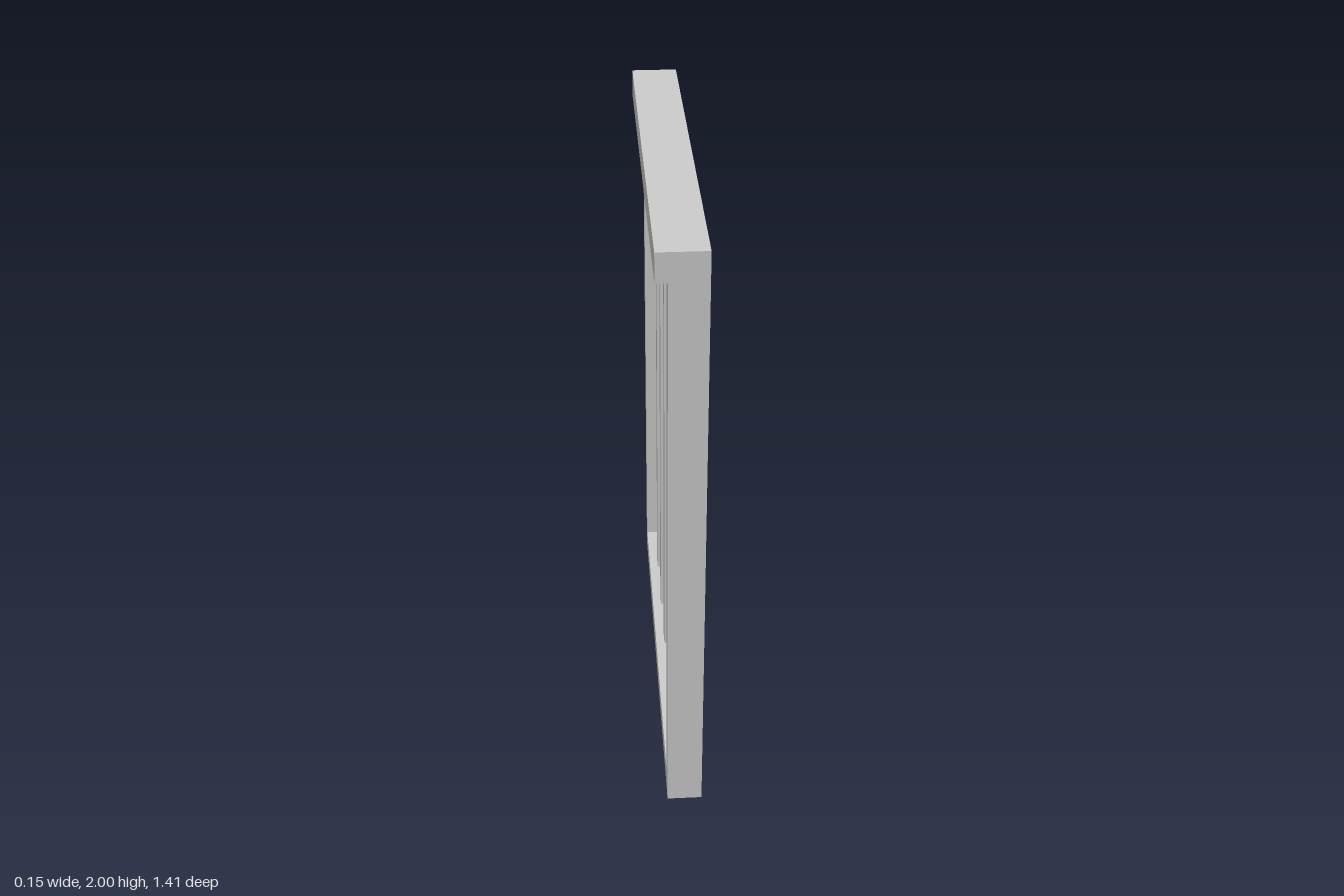
import * as THREE from 'three';

const FRONT = 0.073;   // flush face on the +x side
const HALF = 0.707;    // half the panel's width along z
const INNER = 0.66;    // inner edge of the side stiles
const BOTTOM = 0.08, TOP = 1.91;
const BAYS = 6, BAR = 0.047;

export function createModel() {
  const group = new THREE.Group();
  const material = new THREE.MeshStandardMaterial({ color: 0xcccccc });

  // Box given by its limits on each axis
  const box = (name, x0, x1, y0, y1, z0, z1) => {
    const mesh = new THREE.Mesh(new THREE.BoxGeometry(x1 - x0, y1 - y0, z1 - z0), material);
    mesh.position.set((x0 + x1) / 2, (y0 + y1) / 2, (z0 + z1) / 2);
    mesh.name = name;
    group.add(mesh);
  };

  // Outer frame, with the top rail overhanging on the -x side
  box('topRail', -0.075, FRONT, TOP, 2, -HALF, HALF);
  box('bottomRail', -0.04, FRONT, 0, BOTTOM, -INNER, INNER);
  box('sideStileLeft', -0.04, FRONT, 0, TOP, INNER, HALF);
  box('sideStileRight', -0.04, FRONT, 0, TOP, -HALF, -INNER);

  // Thin pane set in the middle of the lattice
  box('pane', 0.024, 0.028, BOTTOM, TOP, -INNER, INNER);

  // Upright bars, and short cross rails filling each bay
  const bay = (2 * INNER - (BAYS - 1) * BAR) / BAYS;
  for (let i = 0; i < BAYS; i++) {
    const z0 = -INNER + i * (bay + BAR), z1 = z0 + bay;
    if (i < BAYS - 1) box('uprightBar', -0.01, FRONT, BOTTOM, TOP, z1, z1 + BAR);
    for (const y of [0.66, 1.37]) box('crossRail', 0, FRONT, y, y + 0.08, z0, z1);
  }
  return group;
}
